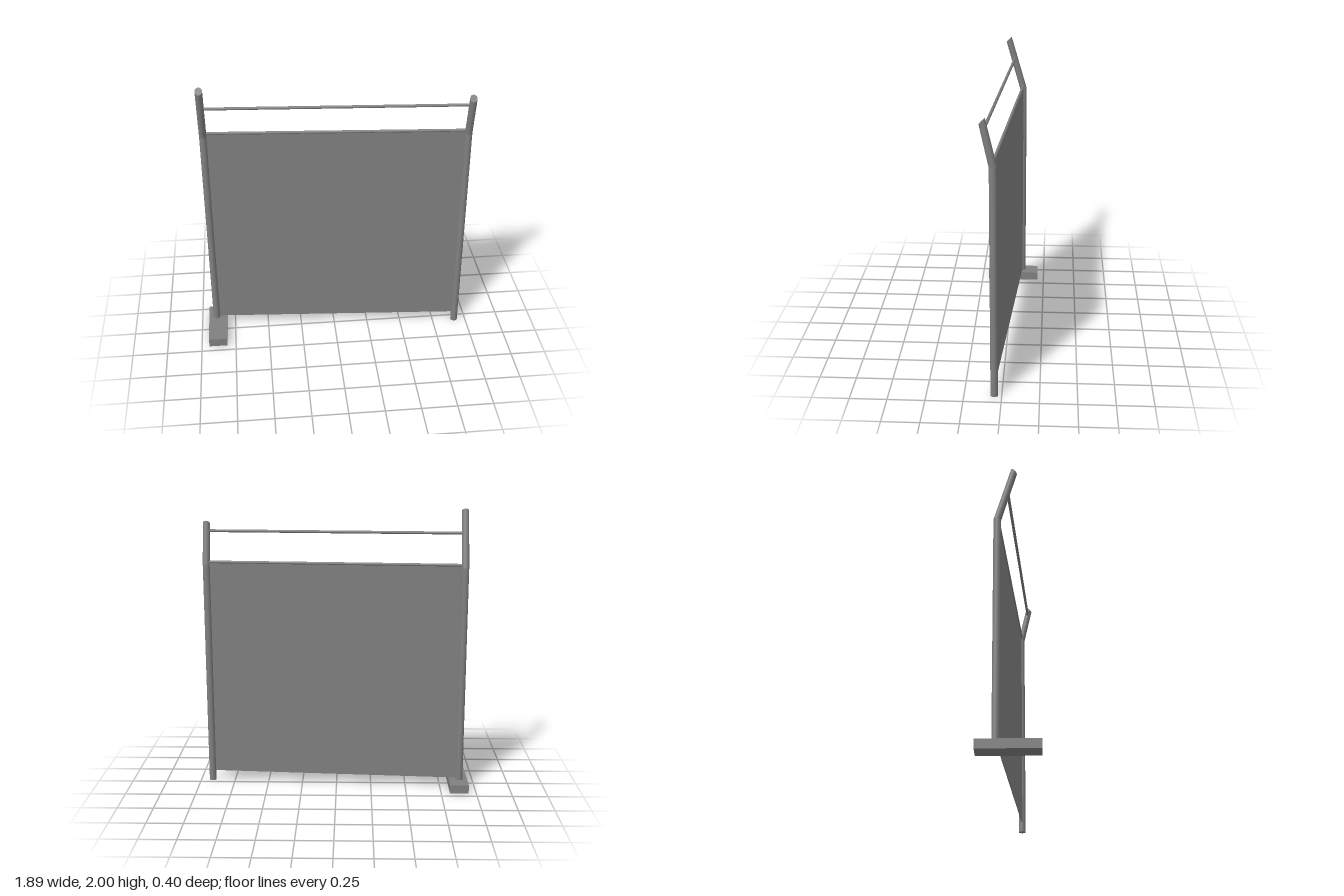
import * as THREE from 'three';

const grey = new THREE.MeshStandardMaterial({ color: 0x808080 });
grey.name = 'metal grey';

const R = 0.025;

function named(geometry, name) {
  const mesh = new THREE.Mesh(geometry, grey);
  mesh.name = name;
  return mesh;
}

// Tube piece whose end rings are cut at a slant; an end is { y, z, depth, drop }
function postPiece(x, low, high, name) {
  const g = new THREE.CylinderGeometry(1, 1, 2, 24, 1);
  const p = g.attributes.position;
  for (let i = 0; i < p.count; i++) {
    const end = p.getY(i) < 0 ? low : high;
    const s = p.getZ(i);
    p.setXYZ(i, x + R * p.getX(i), end.y - s * end.drop, end.z + s * end.depth);
  }
  g.computeVertexNormals();
  return named(g, name);
}

// Upright post bending forward near the top, with a steeply cut tip
function post(name, x, z, bottomY, tipY, tipZ) {
  const group = new THREE.Group();
  group.name = name;
  const bottom = { y: bottomY, z, depth: R, drop: 0 };
  const bend = { y: 1.6, z, depth: R, drop: 0.0035 };
  const tip = { y: tipY, z: tipZ, depth: 0.0195, drop: 0.019 };
  group.add(postPiece(x, bottom, bend, name + 'Upright'));
  group.add(postPiece(x, bend, tip, name + 'Arm'));
  return group;
}

// Straight round rail between two points
function rail(name, a, b) {
  const mesh = named(new THREE.CylinderGeometry(0.01, 0.01, a.distanceTo(b), 16), name);
  mesh.position.copy(a).add(b).multiplyScalar(0.5);
  mesh.quaternion.setFromUnitVectors(new THREE.Vector3(0, 1, 0), b.clone().sub(a).normalize());
  return mesh;
}

export function createModel() {
  const model = new THREE.Group();
  model.name = 'fencePanel';
  const xr = -0.887, zr = -0.075, xl = 0.915, zl = 0.05;

  // Posts
  model.add(post('rightPost', xr, zr, 0.06, 1.981, 0.035));
  model.add(post('leftPost', xl, zl, 0, 1.885, 0.114));

  // Foot block under one post
  const foot = named(new THREE.BoxGeometry(0.133, 0.062, 0.4), 'foot');
  foot.position.set(-0.879, 0.031, 0);
  model.add(foot);

  // Infill sheet
  const bottom = 0.073, top = 1.62;
  const sheet = named(new THREE.BoxGeometry(Math.hypot(xl - xr, zl - zr), top - bottom, 0.006), 'sheet');
  sheet.position.set((xl + xr) / 2, (top + bottom) / 2, (zl + zr) / 2);
  sheet.rotation.y = -Math.atan2(zl - zr, xl - xr);
  model.add(sheet);

  // Rails
  model.add(rail('sheetRail', new THREE.Vector3(xr, 1.621, -0.073), new THREE.Vector3(xl, 1.621, 0.053)));
  model.add(rail('topRail', new THREE.Vector3(xr, 1.834, -0.009), new THREE.Vector3(xl, 1.834, 0.104)));

  return model;
}
